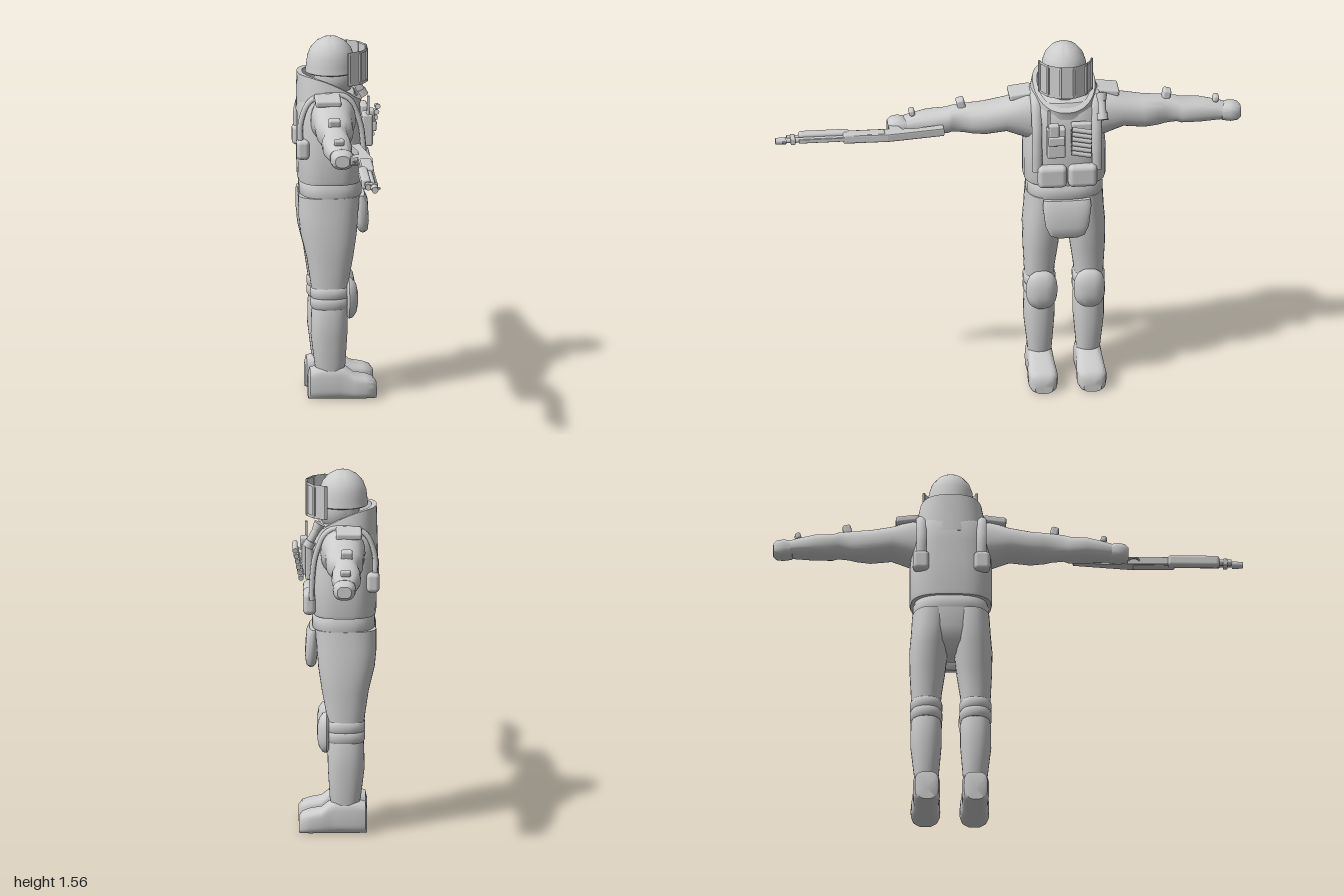
import * as THREE from 'three';
import { toCreasedNormals } from 'three/addons/utils/BufferGeometryUtils.js';
import { RoundedBoxGeometry } from 'three/addons/geometries/RoundedBoxGeometry.js';

const Z0 = -0.245; // centre plane of the body, which faces +x
const grey = new THREE.MeshStandardMaterial({ color: 0xcccccc, side: THREE.DoubleSide });
grey.name = 'plain grey';

// Superellipse rings [t, centreA, centreB, radiusA, radiusB] joined along an axis.
function loft(axis, rows, power = 2, capped = true, seg = 32) {
  const pos = [], idx = [];
  const put = (t, a, b) => pos.push(...(axis === 'x' ? [t, a, b] : axis === 'y' ? [a, t, b] : [a, b, t]));
  const bend = (v) => Math.sign(v) * Math.abs(v) ** (2 / power);
  for (const [t, ca, cb, ra, rb] of rows) {
    for (let i = 0; i < seg; i++) {
      const q = (i / seg) * Math.PI * 2;
      put(t, ca + ra * bend(Math.cos(q)), cb + rb * bend(Math.sin(q)));
    }
  }
  for (let r = 0; r < rows.length - 1; r++) {
    for (let i = 0; i < seg; i++) {
      const a = r * seg + i, b = r * seg + (i + 1) % seg;
      idx.push(a, a + seg, b, b, a + seg, b + seg);
    }
  }
  if (capped) {
    const last = (rows.length - 1) * seg, c = rows.length * seg;
    put(...rows[0].slice(0, 3));
    put(...rows[rows.length - 1].slice(0, 3));
    for (let i = 0; i < seg; i++) {
      const j = (i + 1) % seg;
      idx.push(c, i, j, c + 1, last + j, last + i);
    }
  }
  // turn the faces outwards whichever way the rings run
  let volume = 0;
  const v = (i) => new THREE.Vector3().fromArray(pos, i * 3);
  for (let i = 0; i < idx.length; i += 3) volume += v(idx[i]).dot(v(idx[i + 1]).cross(v(idx[i + 2])));
  if (volume < 0) idx.reverse();
  const g = new THREE.BufferGeometry();
  g.setAttribute('position', new THREE.Float32BufferAttribute(pos, 3));
  g.setIndex(idx);
  g.computeVertexNormals();
  return g;
}

export function createModel() {
  const model = new THREE.Group();
  const add = (name, geo, x = 0, y = 0, z = 0, rx = 0, ry = 0, rz = 0) => {
    const m = new THREE.Mesh(geo, grey);
    m.name = name;
    m.position.set(x, y, z);
    m.rotation.set(rx, ry, rz);
    model.add(m);
    return m;
  };
  const smooth = (...args) => toCreasedNormals(loft(...args), 0.7);
  const box = (w, h, d, r = 0.01) => new RoundedBoxGeometry(w, h, d, 3, Math.min(r, w / 2.1, h / 2.1, d / 2.1));
  const rod = (r, len, r2 = r) => new THREE.CylinderGeometry(r2, r, len, 16);

  // Torso, belt and pelvis
  add('vest', smooth('y', [
    [0.945, -0.036, Z0, 0.135, 0.172], [0.96, -0.035, Z0, 0.138, 0.176], [1.1, -0.034, Z0, 0.142, 0.176],
    [1.2, -0.038, Z0, 0.138, 0.168], [1.28, -0.042, Z0, 0.134, 0.155], [1.32, -0.045, Z0, 0.115, 0.13],
    [1.335, -0.045, Z0, 0.07, 0.08]], 2.8));
  add('belt', smooth('y', [[0.87, -0.033, Z0, 0.125, 0.158], [0.885, -0.033, Z0, 0.134, 0.163],
    [0.925, -0.033, Z0, 0.134, 0.163], [0.95, -0.033, Z0, 0.122, 0.155]], 2.6));
  add('pelvis', smooth('y', [[0.7, -0.05, Z0, 0.05, 0.04], [0.74, -0.048, Z0, 0.1, 0.1],
    [0.8, -0.046, Z0, 0.12, 0.15], [0.885, -0.042, Z0, 0.128, 0.163]], 2.5));

  // Collar, high behind the head and dipping at the throat
  const collar = loft('y', [[0, -0.042, Z0, 0.136, 0.157], [0.6, -0.04, Z0, 0.136, 0.146], [1, -0.036, Z0, 0.138, 0.133],
    [1, -0.034, Z0, 0.118, 0.114], [0, -0.04, Z0, 0.11, 0.11], [0, -0.042, Z0, 0.136, 0.157]], 2.3, false, 48);
  const cp = collar.attributes.position;
  for (let i = 0; i < cp.count; i++) {
    const k = Math.max(0, (cp.getX(i) + 0.175) / 0.275);
    cp.setY(i, 1.24 + cp.getY(i) * (0.17 - 0.12 * k * k));
  }
  collar.computeVertexNormals();
  add('collar', toCreasedNormals(collar, 0.7));

  // Head, helmet and visor
  add('neck', rod(0.07, 0.14), -0.03, 1.33, Z0);
  add('face', new THREE.SphereGeometry(1, 28, 20), -0.01, 1.39, Z0).scale.set(0.085, 0.095, 0.075);
  const dome = [[0, 1.56], [0.03, 1.556], [0.06, 1.54], [0.087, 1.51], [0.1, 1.475], [0.104, 1.44], [0.108, 1.41], [0.1, 1.405], [0.09, 1.43]]
    .reverse().map(([r, y]) => new THREE.Vector2(r, y));
  add('helmet', toCreasedNormals(new THREE.LatheGeometry(dome, 40), 0.7), -0.03, 0, Z0).scale.z = 0.93;
  const arc = (h) => new THREE.CylinderGeometry(0.115, 0.115, h, 5, 1, true, Math.PI / 2 - 1.3, 2.6);
  add('visorGlass', toCreasedNormals(arc(0.14), 0.1), 0.01, 1.44, Z0);
  for (const y of [1.372, 1.508]) add('visorRim', toCreasedNormals(arc(0.012), 0.1), 0.01, y, Z0).scale.set(1.04, 1, 1.04);
  for (let i = 0; i <= 5; i++) {
    const a = -1.3 + i * 0.52;
    add('visorBar', box(0.01, 0.146, 0.012, 0.003), 0.01 + 0.116 * Math.cos(a), 1.44, Z0 + 0.116 * Math.sin(a), 0, -a);
  }

  for (const s of [1, -1]) {
    const z = (d) => Z0 + s * d;

    // Arm from shoulder to wrist, then glove
    const arm = [[0.1, -0.03, 1.215, 0.095, 0.115], [0.165, -0.03, 1.235, 0.095, 0.1], [0.25, -0.036, 1.235, 0.082, 0.07],
      [0.34, -0.036, 1.222, 0.079, 0.067], [0.4, -0.038, 1.222, 0.066, 0.064], [0.43, -0.042, 1.222, 0.056, 0.06],
      [0.48, -0.042, 1.222, 0.054, 0.055], [0.5, -0.042, 1.215, 0.062, 0.053], [0.58, -0.042, 1.213, 0.062, 0.051],
      [0.65, -0.04, 1.208, 0.05, 0.042], [0.685, -0.037, 1.205, 0.045, 0.036]];
    add('arm', smooth('z', arm.map(([d, ...r]) => [z(d), ...r]), 2.3));
    const glove = [[0.665, -0.034, 1.203, 0.03, 0.025], [0.675, -0.034, 1.203, 0.044, 0.036], [0.71, -0.033, 1.204, 0.049, 0.042],
      [0.74, -0.033, 1.203, 0.045, 0.038], [0.755, -0.033, 1.202, 0.03, 0.025]];
    add('glove', smooth('z', glove.map(([d, ...r]) => [z(d), ...r]), 2.6));
    add('elbowTab', box(0.05, 0.045, 0.035), -0.045, 1.29, z(0.44), s * 0.25);
    add('wristTab', box(0.045, 0.03, 0.025), -0.04, 1.262, z(0.65), s * 0.3);
    add('shoulderPad', box(0.11, 0.03, 0.1), -0.055, 1.325, z(0.185), s * 0.12);

    // Strap looping over the shoulder, with its pouches
    const path = [[-0.165, 1.1], [-0.165, 1.22], [-0.125, 1.31], [-0.04, 1.34], [0.04, 1.315], [0.085, 1.22], [0.1, 1.12], [0.103, 1.02]];
    const strap = new THREE.TubeGeometry(new THREE.CatmullRomCurve3(path.map(([x, y]) => new THREE.Vector3(x, y, 0))), 36, 0.012, 8);
    strap.scale(1, 1, 1.8);
    add('shoulderStrap', strap, 0, 0, z(0.128));
    add('backPouch', box(0.055, 0.085, 0.07, 0.018), -0.158, 1.1, z(0.13));
    add('bellyPouch', box(0.055, 0.1, 0.124, 0.022), 0.112, 1.0, z(0.065));

    // Leg, knee guard and boot
    add('thigh', smooth('y', [[0.46, -0.04, z(0.105), 0.076, 0.062], [0.52, -0.042, z(0.105), 0.083, 0.065],
      [0.62, -0.04, z(0.1), 0.1, 0.075], [0.72, -0.045, z(0.095), 0.12, 0.082], [0.8, -0.046, z(0.087), 0.127, 0.083],
      [0.885, -0.042, z(0.084), 0.13, 0.081]], 2.3));
    add('shin', smooth('y', [[0.12, -0.04, z(0.104), 0.058, 0.05], [0.15, -0.04, z(0.104), 0.066, 0.053],
      [0.28, -0.044, z(0.106), 0.078, 0.066], [0.38, -0.042, z(0.105), 0.078, 0.066], [0.41, -0.04, z(0.105), 0.074, 0.06]], 2.3));
    for (const y of [0.425, 0.468]) {
      add('kneeBand', smooth('y', [[y - 0.027, -0.04, z(0.105), 0.078, 0.063], [y - 0.015, -0.04, z(0.105), 0.085, 0.069],
        [y + 0.012, -0.04, z(0.105), 0.085, 0.069], [y + 0.022, -0.04, z(0.105), 0.078, 0.063]], 2.3));
    }
    add('kneePad', smooth('x', [[0.03, 0.435, z(0.102), 0.075, 0.057], [0.04, 0.435, z(0.102), 0.088, 0.067],
      [0.056, 0.435, z(0.102), 0.083, 0.062], [0.072, 0.435, z(0.102), 0.06, 0.044], [0.079, 0.435, z(0.102), 0.025, 0.02]], 2.5));
    const boot = [[-0.133, 0.1, 0.038], [-0.126, 0.13, 0.05], [-0.08, 0.143, 0.058], [0, 0.143, 0.056], [0.03, 0.132, 0.057],
      [0.06, 0.107, 0.061], [0.11, 0.098, 0.063], [0.142, 0.087, 0.056], [0.157, 0.068, 0.038]];
    add('boot', smooth('x', boot.map(([x, h, w]) => [x, h / 2, z(0.104), h / 2, w]), 3.6));
  }

  // Groin plate with a rounded lower end
  add('groinPlate', smooth('y', [[0.708, 0.105, Z0, 0.012, 0.05], [0.72, 0.105, Z0, 0.022, 0.075], [0.76, 0.104, Z0, 0.027, 0.093],
    [0.85, 0.1, Z0, 0.026, 0.104], [0.88, 0.094, Z0, 0.018, 0.1]], 3));

  // Chest gear: radio, shell loops and flashlight
  add('radioPouch', box(0.045, 0.14, 0.08), 0.122, 1.165, -0.195);
  add('radio', box(0.035, 0.1, 0.045), 0.135, 1.205, -0.185);
  add('radioFlap', box(0.02, 0.04, 0.07, 0.006), 0.15, 1.18, -0.195);
  add('radioAerial', rod(0.006, 0.09), 0.125, 1.27, -0.165);
  add('shellCarrier', box(0.03, 0.15, 0.09), 0.115, 1.175, -0.305);
  for (let i = 0; i < 6; i++) {
    add('shell', rod(0.011, 0.085), 0.148 + i * 0.005, 1.115 + i * 0.024, -0.3, Math.PI / 2 - 0.2);
  }
  add('flashlight', rod(0.017, 0.09), 0.095, 1.31, -0.395, 0, 0, 0.5);
  add('flashlightHead', rod(0.018, 0.035, 0.025), 0.077, 1.345, -0.395, 0, 0, 0.5);
  add('flashlightTail', rod(0.024, 0.03), 0.113, 1.27, -0.395, 0, 0, 0.5);

  // Shotgun lying on its side in front of the hand, muzzle towards +z
  const outline = [[0.28, 0.02], [0.4, 0.043], [0.455, 0.042], [0.475, 0.0], [0.505, 0.004], [0.505, 0.035], [0.7, 0.035],
    [0.7, 0.082], [0.52, 0.09], [0.45, 0.08], [0.28, 0.055]].map(([u, v]) => new THREE.Vector2(u, v));
  const stock = new THREE.ExtrudeGeometry(new THREE.Shape(outline), {
    depth: 0.024, bevelEnabled: true, bevelThickness: 0.006, bevelSize: 0.004, bevelSegments: 2 });
  stock.applyMatrix4(new THREE.Matrix4().makeBasis(
    new THREE.Vector3(0, 0, 1), new THREE.Vector3(1, 0, 0), new THREE.Vector3(0, 1, 0)));
  add('gunStock', stock, 0, 1.192, 0);
  add('triggerGuard', new THREE.TorusGeometry(0.022, 0.004, 6, 16), 0.03, 1.204, 0.535, Math.PI / 2);
  add('gunReceiver', box(0.05, 0.044, 0.18), 0.062, 1.204, 0.62);
  add('gunForend', box(0.04, 0.05, 0.22, 0.014), 0.04, 1.204, 0.79);
  add('gunBarrel', rod(0.011, 0.36), 0.068, 1.204, 0.82, Math.PI / 2);
  add('gunMagazineTube', rod(0.013, 0.24), 0.045, 1.204, 0.83, Math.PI / 2);
  add('gunRail', box(0.008, 0.018, 0.3, 0.003), 0.083, 1.204, 0.75);
  add('barrelClamp', box(0.055, 0.03, 0.02, 0.005), 0.06, 1.204, 0.925);
  add('gunMuzzle', rod(0.016, 0.045, 0.014), 0.07, 1.204, 0.977, Math.PI / 2);
  add('gunSight', box(0.018, 0.008, 0.012, 0.002), 0.086, 1.204, 0.965);

  return model;
}
